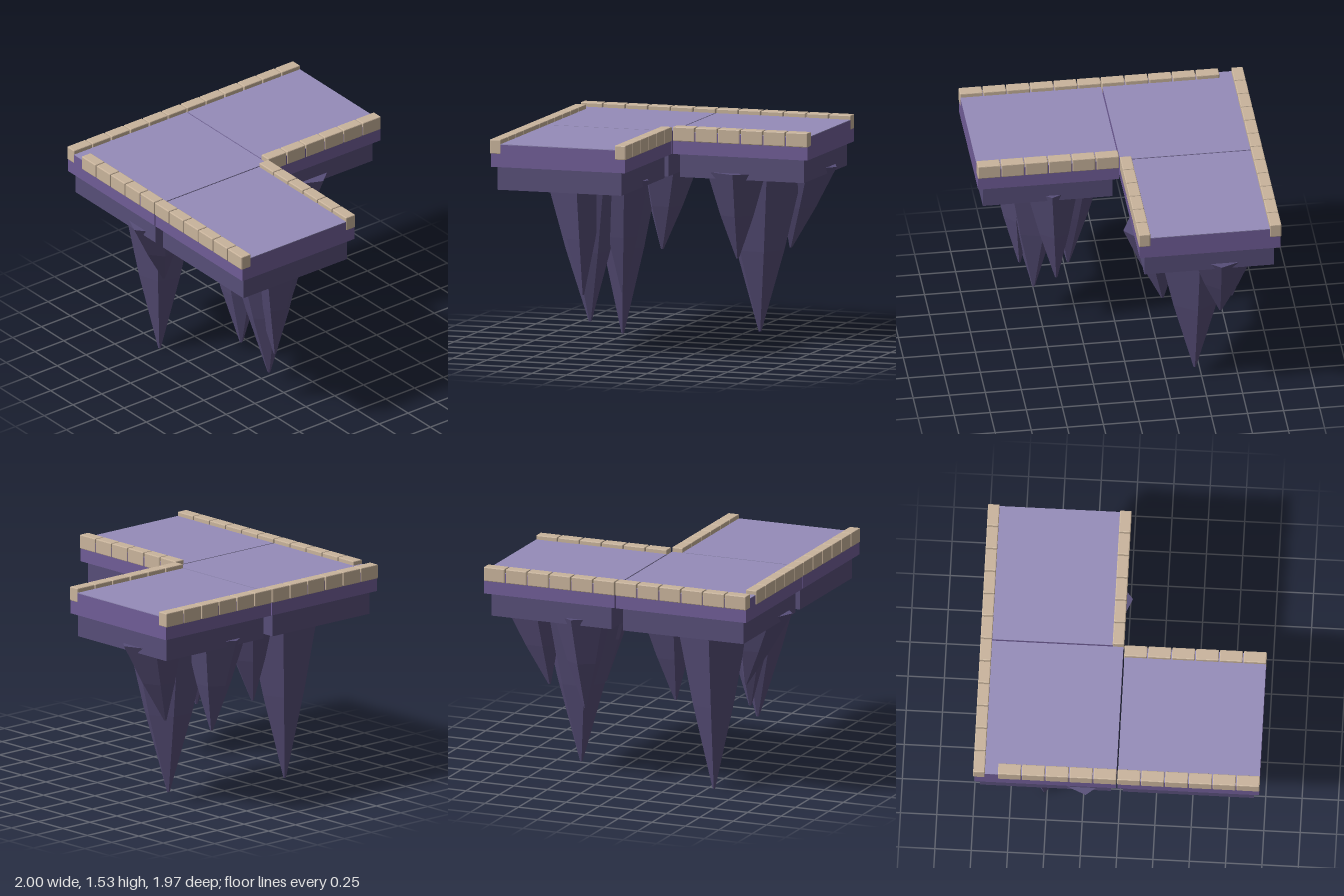
import * as THREE from 'three';
import { RoundedBoxGeometry } from 'three/addons/geometries/RoundedBoxGeometry.js';

function mat(name, color) {
  const m = new THREE.MeshStandardMaterial({ color, flatShading: true });
  m.name = name;
  return m;
}

export function createModel() {
  const floorMat = mat('lavender floor', 0x958cb9);
  const slabMat = mat('purple slab', 0x705d97);
  const rockMat = mat('dark violet rock', 0x574e78);
  const stoneMat = mat('tan stone', 0xc9b49c);
  const model = new THREE.Group();
  model.name = 'floatingPlatform';

  function add(name, geometry, material, x, y, z, parent = model) {
    const mesh = new THREE.Mesh(geometry, material);
    mesh.name = name;
    mesh.position.set(x, y, z);
    parent.add(mesh);
    return mesh;
  }

  // three square tiles in an L: slab, floor plate and rock base
  const c = 0.4925;
  for (const [name, x, z] of [['backRight', -c, -c], ['backLeft', c, -c], ['frontRight', -c, c]]) {
    const tile = new THREE.Group();
    tile.name = name + 'Tile';
    model.add(tile);
    add('slab', new THREE.BoxGeometry(0.975, 0.155, 0.975), slabMat, x, 1.4175, z, tile);
    add('floor', new THREE.BoxGeometry(0.975, 0.005, 0.975), floorMat, x, 1.4975, z, tile);
    add('rockBase', new THREE.BoxGeometry(0.9, 0.16, 0.9), rockMat, x, 1.257, z, tile);
  }

  // rows of edging stones; each row starts at (x, z) and runs along one axis
  const pitch = 0.1642, width = 0.08;
  function stoneRow(name, alongX, start, count, side, first = 0) {
    const row = new THREE.Group();
    row.name = name;
    model.add(row);
    for (let i = first; i < count; i++) {
      const p = start + (i + 0.5) * pitch;
      const long = pitch - 0.007;
      const geo = new RoundedBoxGeometry(alongX ? long : width, 0.1, alongX ? width : long, 1, 0.006);
      add('stone', geo, stoneMat, alongX ? p : side, 1.48, alongX ? side : p, row);
    }
  }
  stoneRow('backEdge', true, -0.985, 12, -0.948);
  stoneRow('rightEdge', false, -0.985, 12, -0.948, 1);
  stoneRow('innerFrontEdge', true, 0, 6, -0.04);
  stoneRow('innerSideEdge', false, 0, 6, -0.04);

  // hanging rock spikes: faceted cones that lean from ring centre to tip
  const top = 1.22;
  function spike(cx, cz, r, tipX, tipY, tipZ, turn, sides = 6) {
    const h = top - tipY;
    const geo = new THREE.CylinderGeometry(r, 0.01, h, sides, 2);
    const pos = geo.attributes.position;
    for (let i = 0; i < pos.count; i++) {
      const t = 0.5 - pos.getY(i) / h; // 0 at the ring, 1 at the tip
      const x = pos.getX(i), z = pos.getZ(i);
      const a = Math.atan2(x, z), len = Math.hypot(x, z);
      const bulge = t > 0.1 && t < 0.9 ? 1.08 : 1;
      // the vertex at angle "turn" keeps full reach, the others vary a little
      const d = len * bulge * (0.95 + 0.05 * Math.cos(a) + 0.03 * Math.sin(2 * a));
      pos.setXYZ(i,
        cx + (tipX - cx) * t + d * Math.sin(a + turn),
        top - h * t,
        cz + (tipZ - cz) * t + d * Math.cos(a + turn));
    }
    geo.computeVertexNormals();
    add('rockSpike', geo, rockMat, 0, 0, 0);
  }
  // ring x, ring z, radius, tip x, y, z, turn
  [
    [-0.53, -0.52, 0.30, -0.54, 0.00, -0.52, 0.3],
    [-0.20, -0.50, 0.225, -0.25, 0.60, -0.51, 1.57],
    [-0.78, -0.25, 0.22, -0.68, 0.70, -0.29, -1.4],
    [0.47, -0.46, 0.33, 0.48, 0.07, -0.455, 0.5],
    [0.33, -0.765, 0.22, 0.33, 0.535, -0.73, 3.14],
    [0.76, -0.60, 0.24, 0.65, 0.64, -0.61, 1.45],
    [0.41, -0.20, 0.24, 0.39, 0.60, -0.245, 0.17],
    [-0.45, 0.53, 0.28, -0.41, 0.235, 0.54, 0.8],
    [-0.45, 0.63, 0.21, -0.43, 0.43, 0.635, 0.2],
    [-0.22, 0.45, 0.21, -0.22, 0.425, 0.41, 1.5],
    [-0.46, 0.28, 0.24, -0.46, 0.38, 0.295, 3.0],
  ].forEach((s) => spike(...s));

  return model;
}
